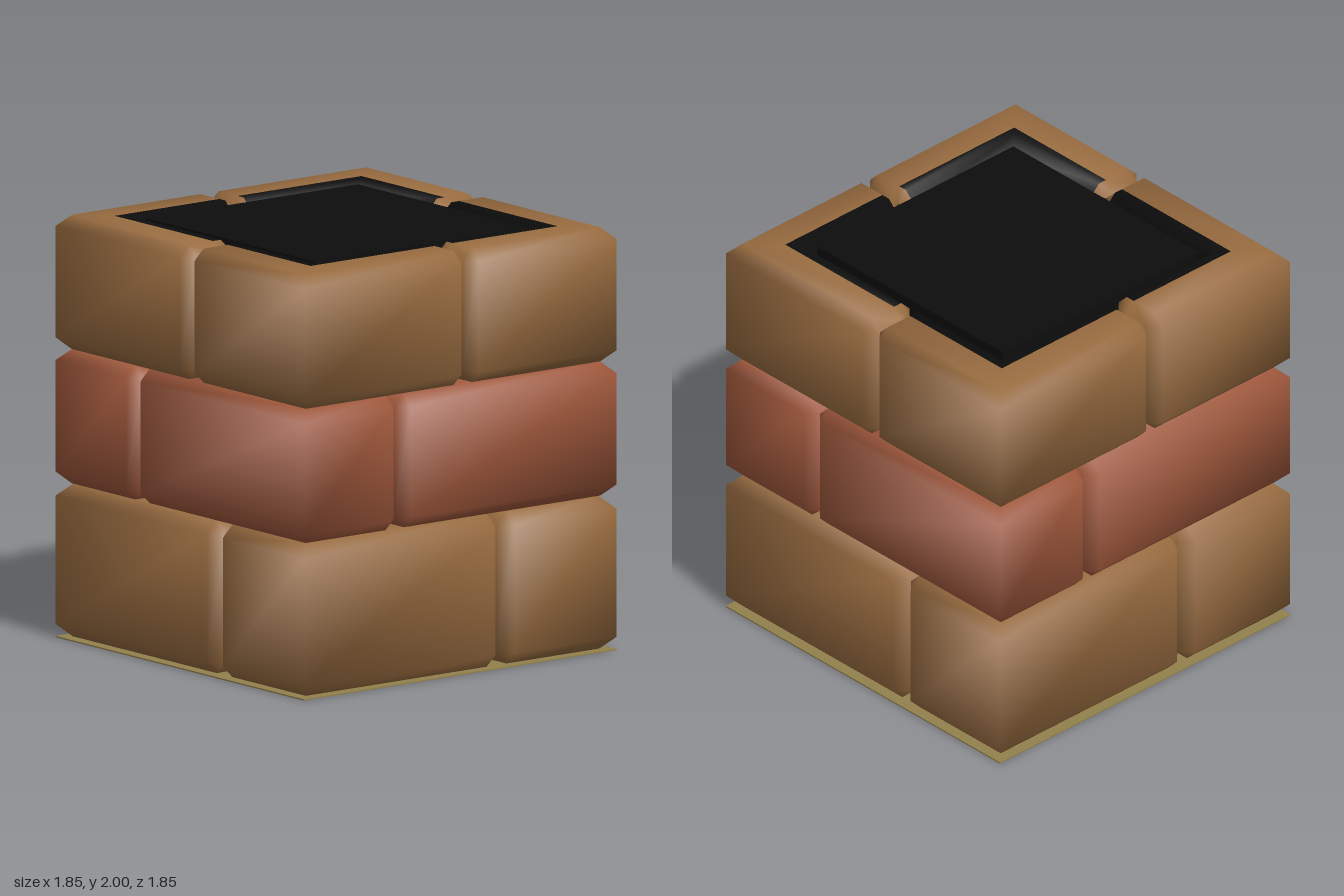
import * as THREE from 'three';

const OUT = 0.925, IN = 0.63, PAINT = 0.73;

const flat = (name, color) => {
  const m = new THREE.MeshStandardMaterial({ color });
  m.name = name;
  return m;
};

// L-shaped corner brick with chamfered edges and soft normals.
// It runs from x = joint on the front, round the corner, to z = -joint on the side.
function cornerBrick(y0, y1, b, joint) {
  const full = [
    [OUT, y0 + b], [OUT, y1 - b], [OUT - b, y1], [PAINT, y1], [IN + b, y1],
    [IN, y1 - b], [IN, y0 + b], [IN + b, y0], [OUT - b, y0],
  ];
  const cap = full.map(([d, y]) => [
    THREE.MathUtils.clamp(d, IN + b, OUT - b),
    THREE.MathUtils.clamp(y, y0 + b, y1 - b),
  ]);
  const front = (s) => ([d, y]) => new THREE.Vector3(s, y, d);
  const side = (s) => ([d, y]) => new THREE.Vector3(d, y, s);
  const rings = [
    cap.map(front(joint)),
    full.map(front(joint + b)),
    full.map(([d, y]) => new THREE.Vector3(d, y, d)),
    full.map(side(-joint + b)),
    cap.map(side(-joint)),
  ];

  // Shared vertices; every quad adds its unit normal once to each corner
  const points = [], normals = [], lookup = new Map(), faces = [[], []];
  const vertex = (p) => {
    const key = p.toArray().map((v) => v.toFixed(4)).join();
    if (!lookup.has(key)) {
      lookup.set(key, points.length);
      points.push(p);
      normals.push(new THREE.Vector3());
    }
    return lookup.get(key);
  };
  const quad = (material, p, q, r, s) => {
    const n = r.clone().sub(p).cross(s.clone().sub(q)).normalize();
    const [a, c, d, e] = [p, q, r, s].map(vertex);
    new Set([a, c, d, e]).forEach((i) => normals[i].add(n));
    for (const t of [[a, c, d], [a, d, e]]) {
      if (new Set(t).size === 3) faces[material].push(...t);
    }
  };

  for (let i = 0; i < 4; i++) {
    const firstDark = i === 0 || i === 3 ? 5 : 3; // joint grooves stay brick-coloured
    for (let k = 0; k < 9; k++) {
      const k2 = (k + 1) % 9;
      const dark = k >= firstDark && k <= 6 ? 1 : 0;
      quad(dark, rings[i][k], rings[i + 1][k], rings[i + 1][k2], rings[i][k2]);
    }
  }
  const ends = [0, 1, 4, 6];
  quad(0, ...ends.map((k) => rings[0][k]));
  quad(0, ...ends.map((k) => rings[4][k]).reverse());

  const geo = new THREE.BufferGeometry().setFromPoints(points);
  geo.setAttribute('normal', new THREE.Float32BufferAttribute(
    normals.flatMap((n) => n.normalize().toArray()), 3));
  geo.setIndex([...faces[0], ...faces[1]]);
  geo.addGroup(0, faces[0].length, 0);
  geo.addGroup(faces[0].length, faces[1].length, 1);
  return geo;
}

export function createModel() {
  const tan = flat('tanBrick', 0x996c40);
  const red = flat('redBrick', 0xa0583c);
  const black = flat('blackInterior', 0x0d0d0d);
  const olive = flat('oliveBase', 0x92804c);

  const model = new THREE.Group();
  model.name = 'brickPillar';

  // Three courses, each of four corner bricks in a pinwheel
  const courses = [
    { name: 'bottomCourse', y0: 0.003, y1: 0.73, bevel: 0.06, joint: 0.262, material: tan },
    { name: 'middleCourse', y0: 0.73, y1: 1.365, bevel: 0.054, joint: -0.345, material: red },
    { name: 'topCourse', y0: 1.365, y1: 2, bevel: 0.054, joint: 0.057, material: tan },
  ];
  for (const { name, y0, y1, bevel, joint, material } of courses) {
    const course = new THREE.Group();
    course.name = name;
    const geo = cornerBrick(y0, y1, bevel, joint);
    for (let i = 0; i < 4; i++) {
      const brick = new THREE.Mesh(geo, [material, black]);
      brick.name = 'cornerBrick';
      brick.rotation.y = (i * Math.PI) / 2;
      course.add(brick);
    }
    model.add(course);
  }

  // Dark core filling the middle
  const core = new THREE.Mesh(new THREE.BoxGeometry(1.25, 1.985, 1.25), black);
  core.name = 'core';
  core.position.y = 0.9995;
  model.add(core);

  // Thin base sheet
  const base = new THREE.Mesh(new THREE.BoxGeometry(2 * OUT, 0.006, 2 * OUT), olive);
  base.name = 'base';
  base.position.y = 0.003;
  model.add(base);

  return model;
}
